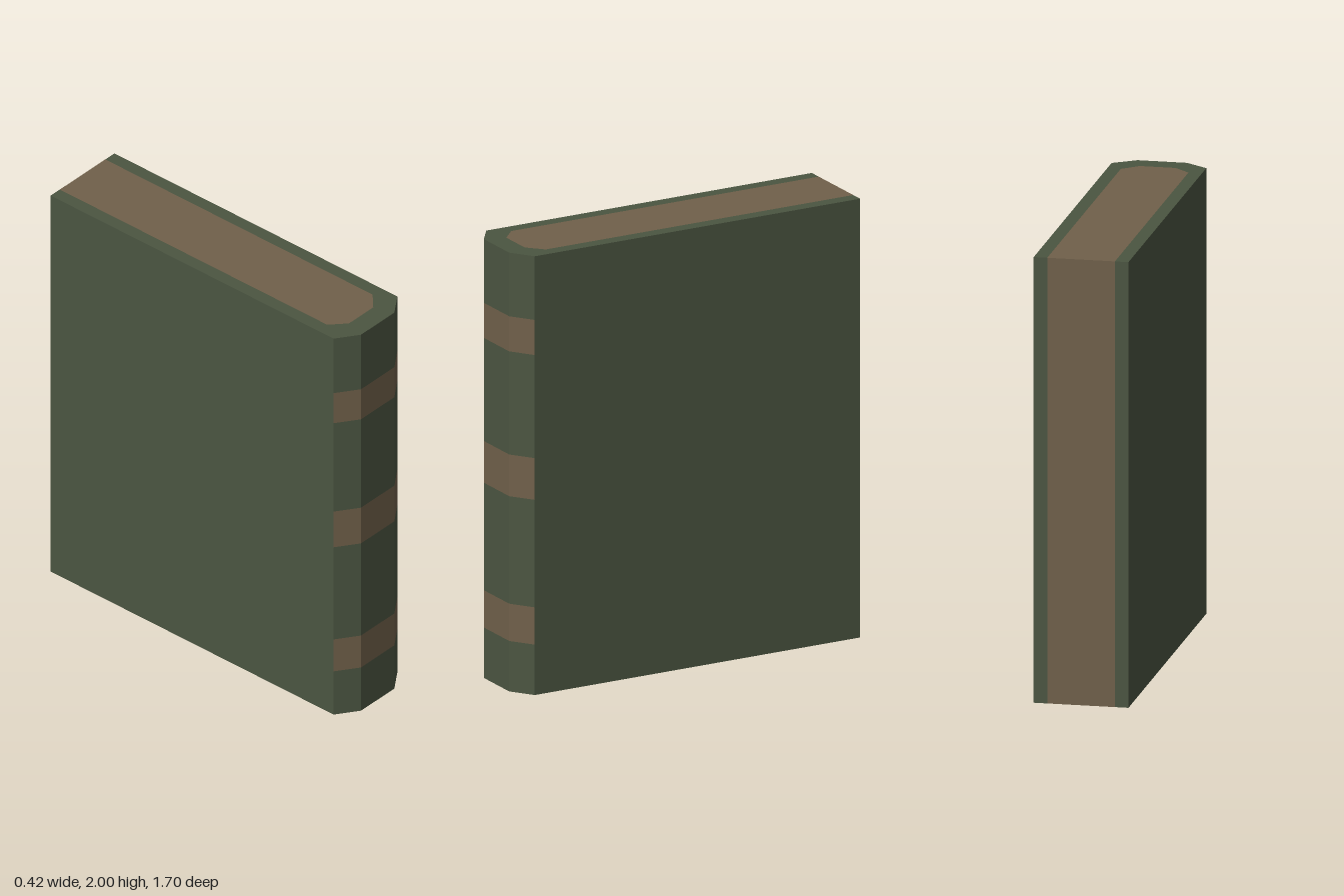
import * as THREE from 'three';

export function createModel() {
  const book = new THREE.Group();
  book.name = 'book';

  const green = new THREE.MeshStandardMaterial({ color: 0x4b5541 });
  green.name = 'cover green';
  const brown = new THREE.MeshStandardMaterial({ color: 0x70604a });
  brown.name = 'page brown';

  // Upright prism from an outline of [x, z] points
  function prism(name, outline, y0, y1, material) {
    const shape = new THREE.Shape(outline.map(([x, z]) => new THREE.Vector2(x, -z)));
    const geometry = new THREE.ExtrudeGeometry(shape, { depth: y1 - y0, bevelEnabled: false });
    geometry.rotateX(-Math.PI / 2);
    geometry.translate(0, y0, 0);
    const mesh = new THREE.Mesh(geometry, material);
    mesh.name = name;
    book.add(mesh);
  }

  const back = -0.85, hinge = 0.78, front = 0.85;
  const outer = 0.21, inner = 0.15;

  // Cover boards
  for (const [name, s] of [['leftBoard', 1], ['rightBoard', -1]]) {
    prism(name, [[s * inner, back], [s * outer, back], [s * outer, hinge], [s * inner, hinge]], 0, 2, green);
  }

  // Page block, flush with the cover, with chamfered spine corners
  const pageFront = [[inner, 0.69], [0.08, 0.755], [-0.08, 0.755], [-inner, 0.69]];
  prism('pages', [[-inner, back], [inner, back], ...pageFront], 0, 2, brown);

  // Faceted spine, stacked from plain sections and brown bands
  const spine = [
    [-inner, hinge], [-outer, hinge], [-0.11, front], [0.11, front], [outer, hinge], [inner, hinge],
    ...pageFront,
  ];
  const levels = [0, 0.23, 0.4, 0.89, 1.08, 1.55, 1.71, 2];
  for (let i = 0; i < levels.length - 1; i++) {
    const band = i % 2 === 1;
    prism(band ? 'spineBand' : 'spineSection', spine, levels[i], levels[i + 1], band ? brown : green);
  }

  return book;
}
